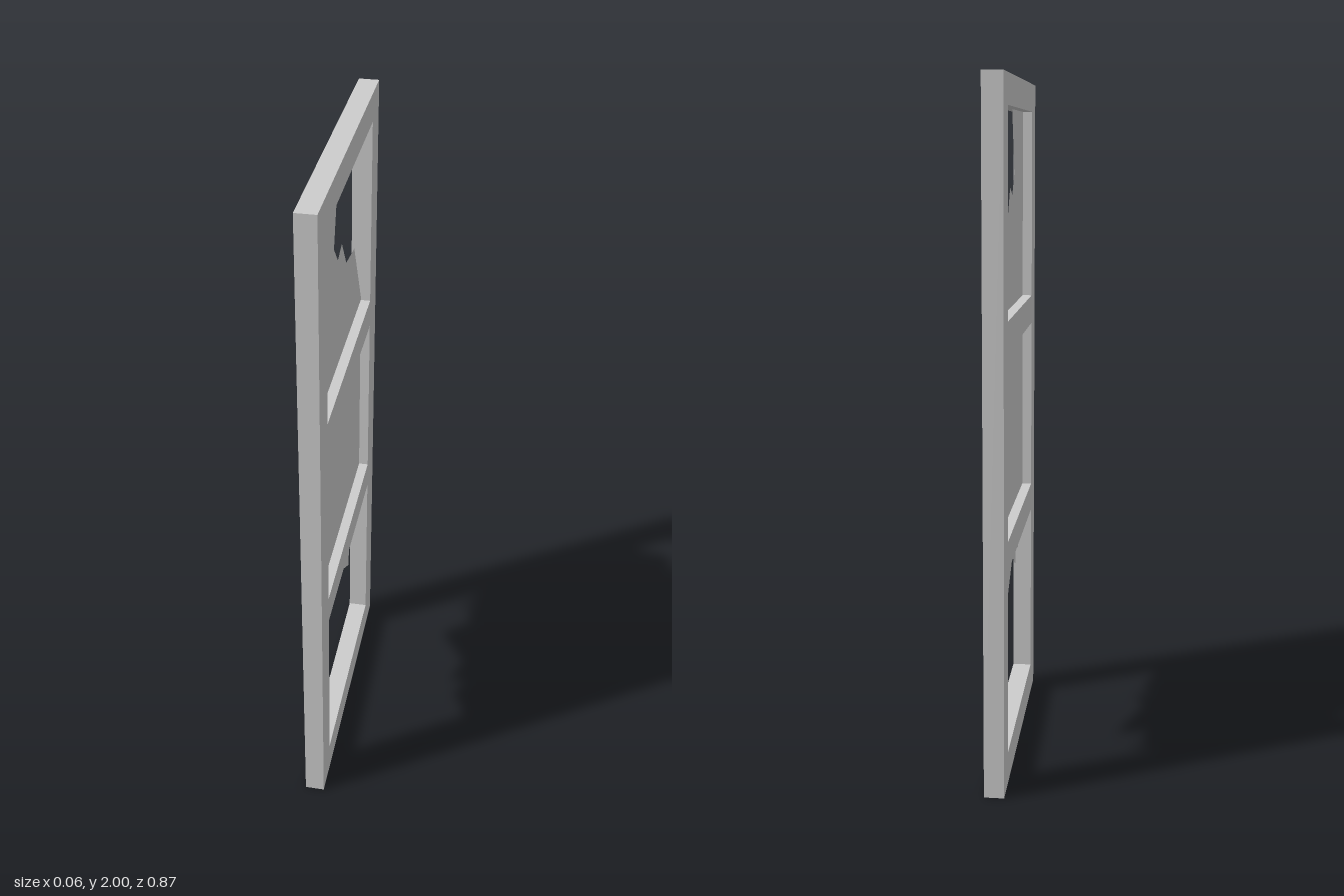
import * as THREE from 'three';

const W = 0.437;   // half width of the door
const H = 0.336;   // half width of each opening
const T = 0.058;   // frame thickness
const openings = [[0.095, 0.638], [0.725, 1.257], [1.345, 1.916]];

const points = (list) => list.map(([u, y]) => new THREE.Vector2(u, y));
const rect = (w, y0, y1) => points([[-w, y0], [w, y0], [w, y1], [-w, y1]]);

export function createModel() {
  const group = new THREE.Group();
  group.name = 'brokenDoor';
  const grey = new THREE.MeshStandardMaterial({ color: 0xcccccc });
  grey.name = 'grey';
  const panelGrey = grey.clone();
  panelGrey.name = 'grey panel';
  panelGrey.side = THREE.DoubleSide;

  // Shapes are drawn flat, then turned so their width runs along z
  const add = (name, geometry, material) => {
    const mesh = new THREE.Mesh(geometry.rotateY(Math.PI / 2), material);
    mesh.name = name;
    group.add(mesh);
  };

  // Frame with three openings
  const outline = new THREE.Shape(rect(W, 0, 2));
  for (const [y0, y1] of openings) outline.holes.push(new THREE.Path(rect(H, y0, y1)));
  const frame = new THREE.ExtrudeGeometry(outline, { depth: T, bevelEnabled: false });
  add('frame', frame.translate(0, 0, -T / 2), grey);

  // Thin panels on the centre plane: whole in the middle, broken above and below
  const panels = {
    middlePanel: rect(H, ...openings[1]),
    brokenTopPanel: points([
      [-H, 1.345], [H, 1.345], [H, 1.357], [0.217, 1.58], [0.09, 1.6], [0.023, 1.693],
      [-0.035, 1.672], [-0.09, 1.732], [-0.032, 1.916], [-H, 1.916],
    ]),
    brokenBottomPanel: points([
      [-H, 0.638], [-0.194, 0.546], [-0.14, 0.594], [-0.12, 0.515], [-0.04, 0.565],
      [0.145, 0.443], [0.166, 0.578], [0.219, 0.546], [0.258, 0.592], [0.258, 0.493],
      [H, 0.63], [H, 0.638],
    ]),
  };
  for (const [name, pts] of Object.entries(panels)) {
    add(name, new THREE.ShapeGeometry(new THREE.Shape(pts)), panelGrey);
  }
  return group;
}
